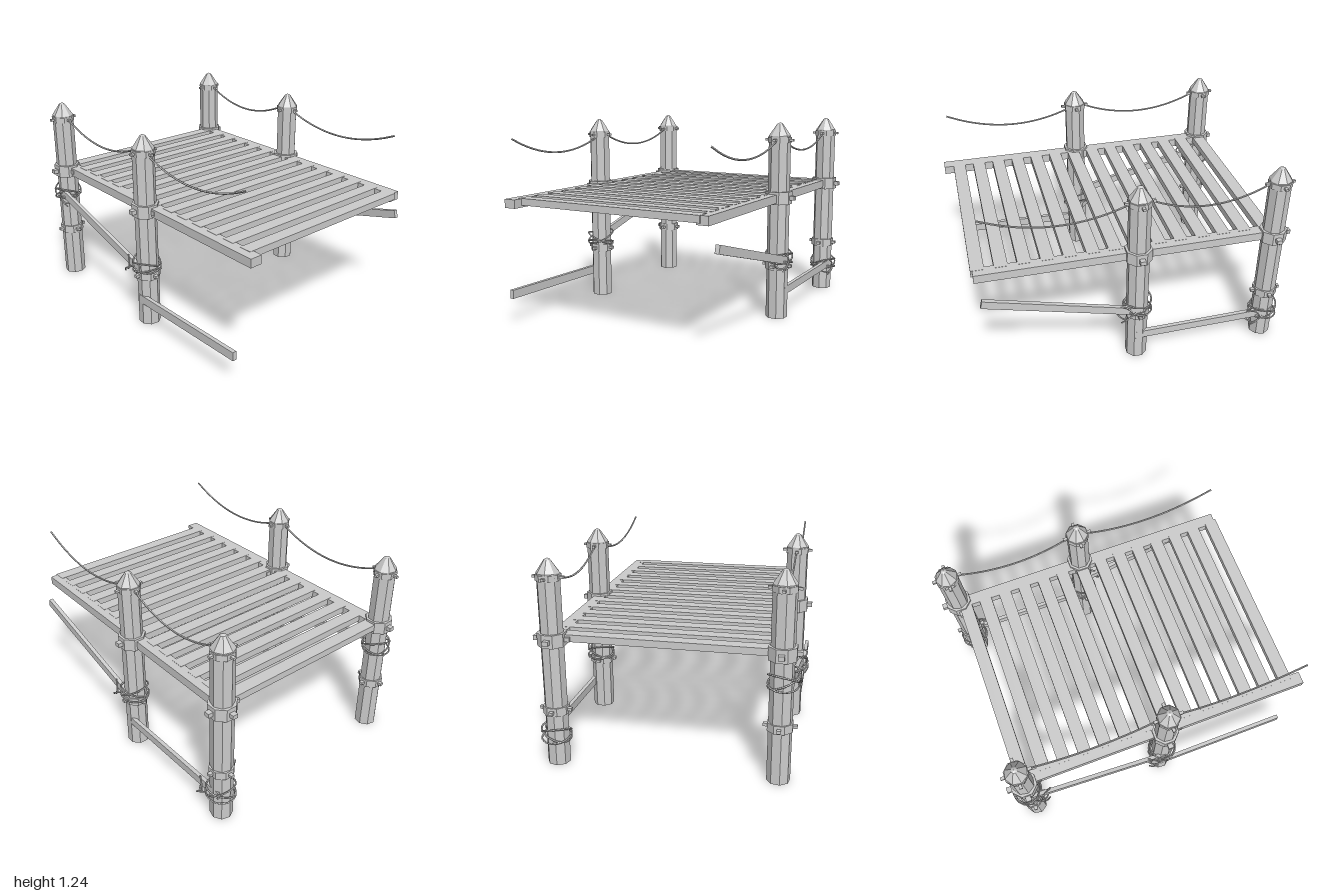
import * as THREE from 'three';

const material = new THREE.MeshStandardMaterial({ color: 0xcccccc, flatShading: true });

function add(parent, name, geometry, x = 0, y = 0, z = 0) {
  const mesh = new THREE.Mesh(geometry, material);
  mesh.name = name;
  mesh.position.set(x, y, z);
  parent.add(mesh);
  return mesh;
}

// Flat board running between two points in a plane of constant z
function board(parent, name, [x0, y0], [x1, y1], z, height, depth) {
  const length = Math.hypot(x1 - x0, y1 - y0);
  const mesh = add(parent, name, new THREE.BoxGeometry(length, height, depth), (x0 + x1) / 2, (y0 + y1) / 2, z);
  mesh.rotation.z = Math.atan2(y1 - y0, x1 - x0);
  return mesh;
}

function rope(parent, name, points, radius, closed = false, segments = 20) {
  const curve = new THREE.CatmullRomCurve3(points.map(p => new THREE.Vector3(...p)), closed);
  return add(parent, name, new THREE.TubeGeometry(curve, segments, radius, 5, closed), 0, 0, 0);
}

// Eight-sided band with four bolts
function collar(parent, name, y, radius, height, bolt, reach) {
  const band = new THREE.Group();
  band.name = name;
  band.position.y = y;
  add(band, 'band', new THREE.CylinderGeometry(radius, radius, height, 8).rotateY(Math.PI / 8));
  for (let i = 0; i < 4; i++) {
    const a = i * Math.PI / 2;
    const mid = (radius * 0.85 + reach) / 2;
    const pin = add(band, 'bolt', new THREE.BoxGeometry(reach - radius * 0.85, bolt, bolt * 1.3),
      Math.cos(a) * mid, 0, -Math.sin(a) * mid);
    pin.rotation.y = a;
  }
  parent.add(band);
}

// Post with pointed cap and its collars
function post(parent, x, z, turn) {
  const group = new THREE.Group();
  group.name = 'post';
  group.position.set(x, 0, z);
  const profile = [[0, 0], [0.068, 0], [0.068, 1.155], [0.018, 1.228], [0, 1.237]];
  const shaft = add(group, 'postShaft', new THREE.LatheGeometry(profile.map(p => new THREE.Vector2(...p)), 8));
  shaft.rotation.y = turn;
  collar(group, 'ropeCollar', 1.13, 0.073, 0.035, 0.014, 0.092);
  collar(group, 'deckCollar', 0.772, 0.084, 0.078, 0.026, 0.108);
  collar(group, 'middleCollar', 0.34, 0.077, 0.05, 0.018, 0.096);
  parent.add(group);
}

// Loose rope loops tying a board to the outside of a post
function lashing(parent, x, y, z, side, shift) {
  const group = new THREE.Group();
  group.name = 'lashing';
  group.position.set(x, y, z);
  group.scale.z = side;
  const loops = [[0.035, 0.0], [-0.03, 0.012], [0.012, -0.02]];
  loops.forEach(([tilt, lift], i) => {
    const points = [];
    for (let k = 0; k < 8; k++) {
      const a = (k + 0.5) * Math.PI / 4;
      points.push([Math.cos(a) * (0.081 + i * 0.004), lift + tilt * Math.sin(a + i) + tilt * 0.4 * Math.cos(a),
        Math.sin(a) * (Math.sin(a) > 0 ? 0.095 : 0.078)]);
    }
    rope(group, 'lashingLoop', points, 0.0055, true, 24);
  });
  // Knot loop around the board and a hanging tail
  rope(group, 'knotLoop', [[shift, 0.04, 0.085], [shift * 1.5, 0.035, 0.06], [shift * 1.7, -0.03, 0.04],
    [shift * 1.2, -0.045, 0.085], [shift * 0.7, 0, 0.1]], 0.0055, true, 18);
  rope(group, 'ropeTail', [[shift * 0.4, 0, 0.09], [shift * 1.1, -0.03, 0.105], [shift * 1.5, -0.065, 0.085]], 0.005, false, 6);
  parent.add(group);
}

// Sagging handrail rope
function handrail(parent, [x0, y0], [x1, y1], z) {
  const points = [];
  for (let i = 0; i <= 8; i++) {
    const t = i / 8;
    points.push([x0 + (x1 - x0) * t, y0 + (y1 - y0) * t - 0.36 * t * (1 - t), z]);
  }
  rope(parent, 'handrailRope', points, 0.006);
}

export function createModel() {
  const model = new THREE.Group();
  model.name = 'pier';

  // Posts
  const front = 0.655, back = -0.645;
  post(model, -0.86, front, 0.2);
  post(model, 0.06, front, 0.3);
  post(model, -0.89, back, 0.12);
  post(model, -0.04, back, 0.35);

  // Deck: two long beams and cross slats
  board(model, 'frontBeam', [-0.87, 0.77], [0.997, 0.77], 0.629, 0.053, 0.076);
  board(model, 'backBeam', [-0.9, 0.77], [0.925, 0.77], -0.625, 0.053, 0.074);
  for (let i = 0; i < 14; i++) {
    add(model, 'slat', new THREE.BoxGeometry(0.08, 0.042, 1.23), -0.853 + i * 0.1345, 0.777, 0);
  }

  // Sloping braces and low rails
  board(model, 'frontBrace', [-0.86, 0.622], [0.06, 0.38], 0.712, 0.05, 0.025);
  board(model, 'backBrace', [-0.04, 0.372], [0.9, 0.622], -0.7, 0.05, 0.026);
  board(model, 'frontLowRail', [0.04, 0.172], [0.925, 0.19], 0.708, 0.054, 0.025);
  board(model, 'backLowRail', [-0.93, 0.187], [-0.02, 0.178], -0.695, 0.05, 0.025);

  // Lashings where the boards meet the posts
  lashing(model, -0.86, 0.61, front, 1, 0.08);
  lashing(model, 0.06, 0.4, front, 1, -0.08);
  lashing(model, -0.89, 0.185, back, -1, 0.08);
  lashing(model, -0.04, 0.39, back, -1, 0.08);

  // Handrail ropes, the outer ones left hanging free at the end
  handrail(model, [-0.8, 1.13], [0.0, 1.13], 0.65);
  handrail(model, [0.11, 1.11], [0.94, 1.15], 0.65);
  handrail(model, [-0.83, 1.13], [-0.1, 1.13], -0.645);
  handrail(model, [0.02, 1.12], [0.875, 1.15], -0.645);

  return model;
}
